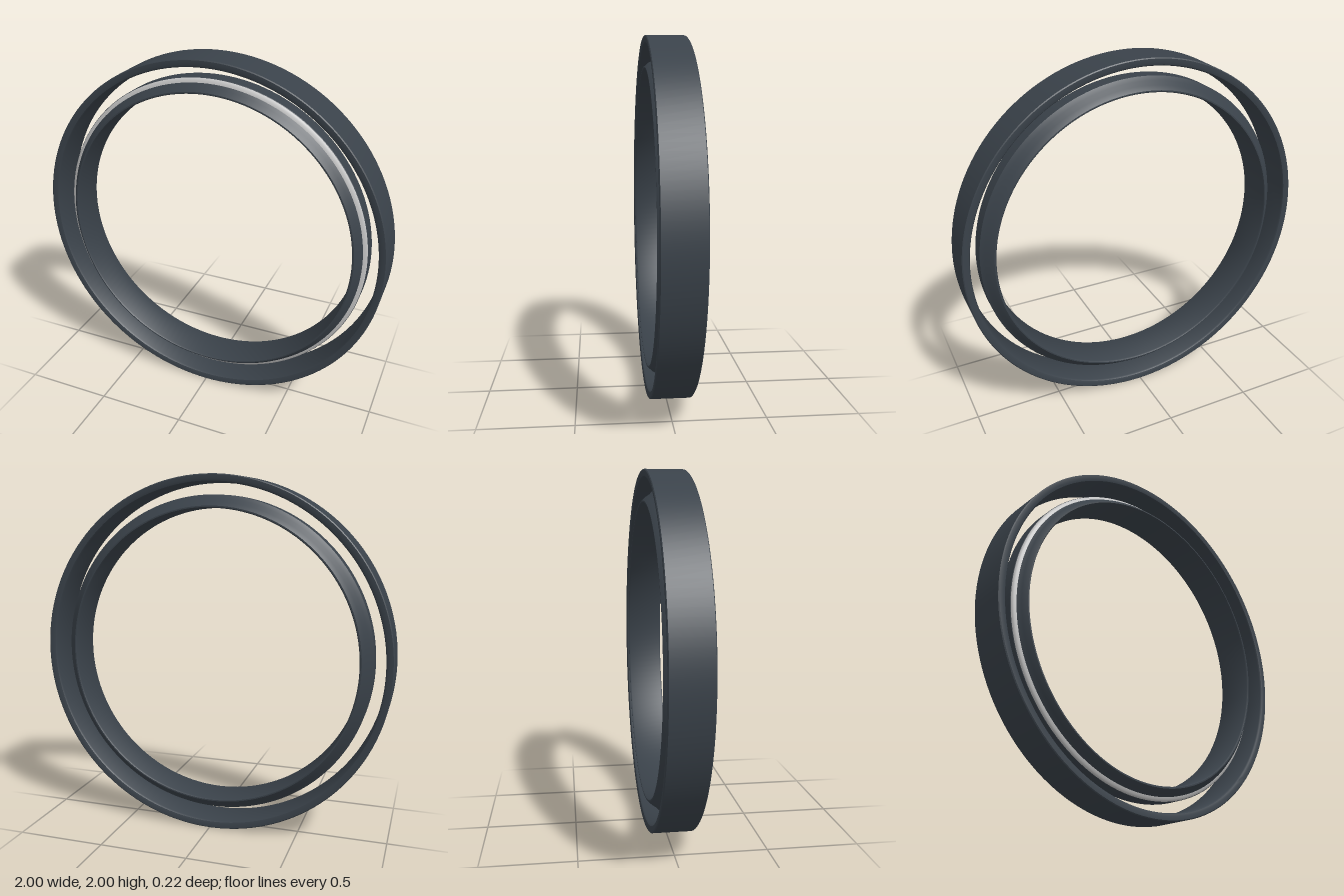
import * as THREE from 'three';
import { toCreasedNormals } from 'three/addons/utils/BufferGeometryUtils.js';

const dark = new THREE.MeshStandardMaterial({ color: 0x3a424a });
dark.name = 'dark slate';
const silver = new THREE.MeshStandardMaterial({ color: 0xc2c2c2 });
silver.name = 'silver';

// Revolves a [radius, z] profile about the z axis
function ring(name, profile, material) {
  const points = profile.map(([r, z]) => new THREE.Vector2(r, z));
  const geometry = new THREE.LatheGeometry(points, 144);
  geometry.rotateX(Math.PI / 2);
  const mesh = new THREE.Mesh(toCreasedNormals(geometry, 0.6), material);
  mesh.name = name;
  mesh.position.y = 1;
  return mesh;
}

export function createModel() {
  const group = new THREE.Group();
  group.name = 'doubleRing';

  // Outer band: straight wall with softly rounded rims
  group.add(ring('outerBand', [
    [0.957, -0.095], [0.963, -0.104], [0.975, -0.108], [0.995, -0.108], [1, -0.104],
    [1, 0.104], [0.995, 0.108], [0.975, 0.108], [0.963, 0.104], [0.957, 0.095],
    [0.957, -0.095],
  ], dark));

  // Inner band: flat bore, shoulders sloping away from the rims
  group.add(ring('innerBand', [
    [0.822, -0.098], [0.827, -0.106], [0.834, -0.106], [0.855, -0.085], [0.872, -0.06],
    [0.893, -0.04], [0.893, 0.04], [0.889, 0.044], [0.87, 0.056],
    [0.855, 0.083], [0.834, 0.106], [0.827, 0.106], [0.822, 0.098],
    [0.822, -0.098],
  ], dark));

  // Bright inlay around the front shoulder
  group.add(ring('silverInlay', [
    [0.891, 0.041], [0.889, 0.048], [0.881, 0.055], [0.869, 0.059],
  ], silver));

  return group;
}
